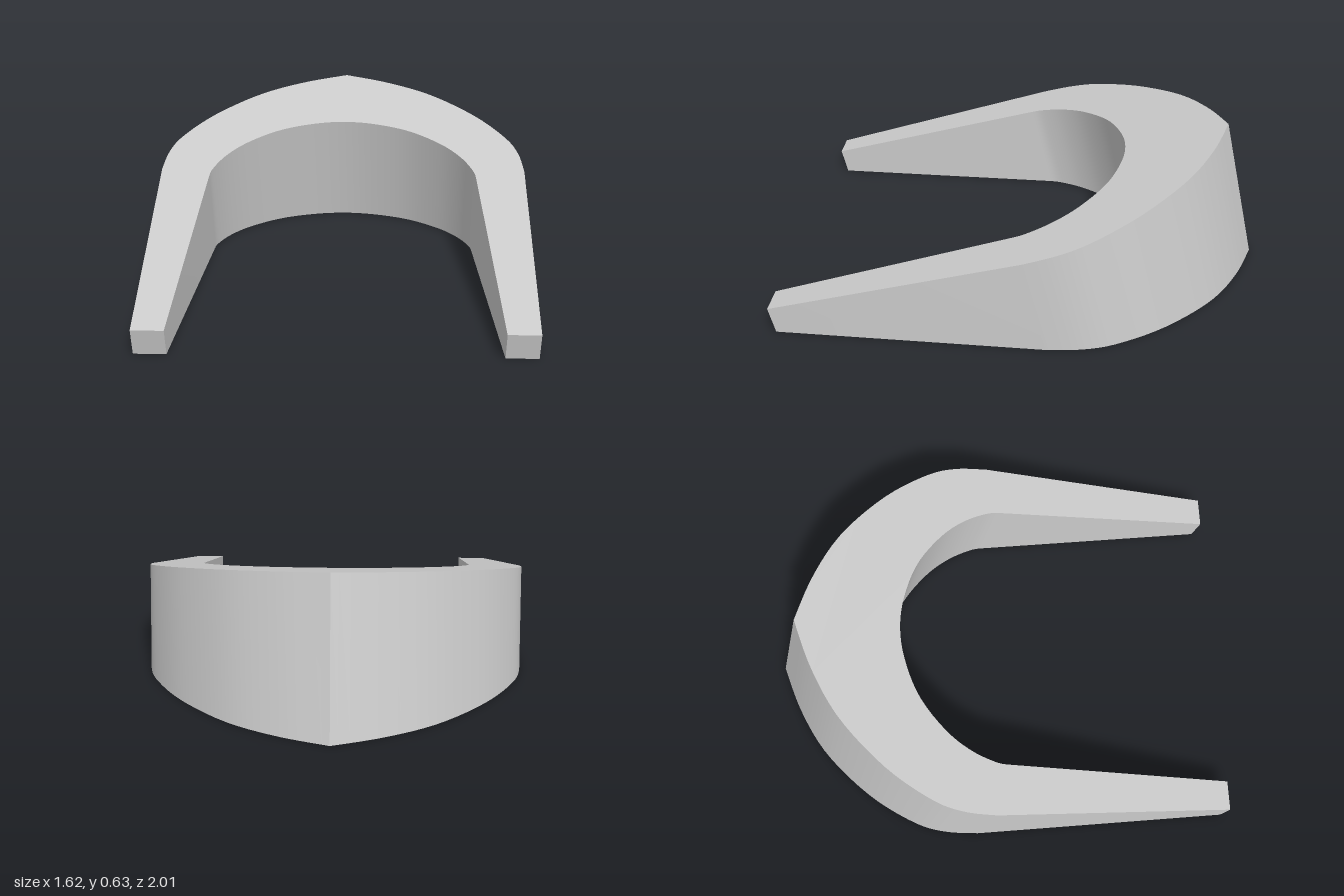
import * as THREE from 'three';
import { toCreasedNormals } from 'three/addons/utils/BufferGeometryUtils.js';

const v = ([x, z]) => new THREE.Vector2(x, -z);
const mirror = (pts) => pts.map(([x, z]) => [-x, z]);
const smooth = (pts, n) => new THREE.SplineCurve(pts.map(v)).getPoints(n);

export function createModel() {
  const group = new THREE.Group();

  // Plan of the sloping top face as (x, z): pointed outer arch, round inner arch, tapered legs
  const outer = [[0.81, -0.03], [0.797, -0.17], [0.75, -0.3], [0.62, -0.487],
    [0.42, -0.672], [0.21, -0.788], [0, -0.862]];
  const inner = [[0.592, 0.03], [0.583, -0.03], [0.535, -0.135], [0.45, -0.24], [0.31, -0.345],
    [0.15, -0.405], [0, -0.425]];
  const innerArch = [...mirror(inner), ...inner.slice(0, -1).reverse()];

  const outline = [
    v([0.762, 1]),
    ...smooth(outer, 28),
    ...smooth(mirror(outer).reverse(), 28).slice(1),
    v([-0.762, 1]),
    v([-0.635, 1]),
    ...smooth(innerArch, 52),
    v([0.635, 1]),
  ];
  const block = new THREE.ExtrudeGeometry(new THREE.Shape(outline), { depth: 1, bevelEnabled: false });

  // Stand the block up: the top slopes down to the front and the walls lean forward
  const p = block.attributes.position;
  for (let i = 0; i < p.count; i++) {
    const z = -p.getY(i);
    const level = p.getZ(i);
    const height = 0.11 + 0.279 * (1 - z);
    p.setXYZ(i, p.getX(i), height * level, z - 0.231 * height * (1 - level));
  }

  const mesh = new THREE.Mesh(
    toCreasedNormals(block, Math.PI / 7),
    new THREE.MeshStandardMaterial({ color: 0xcccccc })
  );
  mesh.name = 'archedWedge';
  group.add(mesh);
  return group;
}
